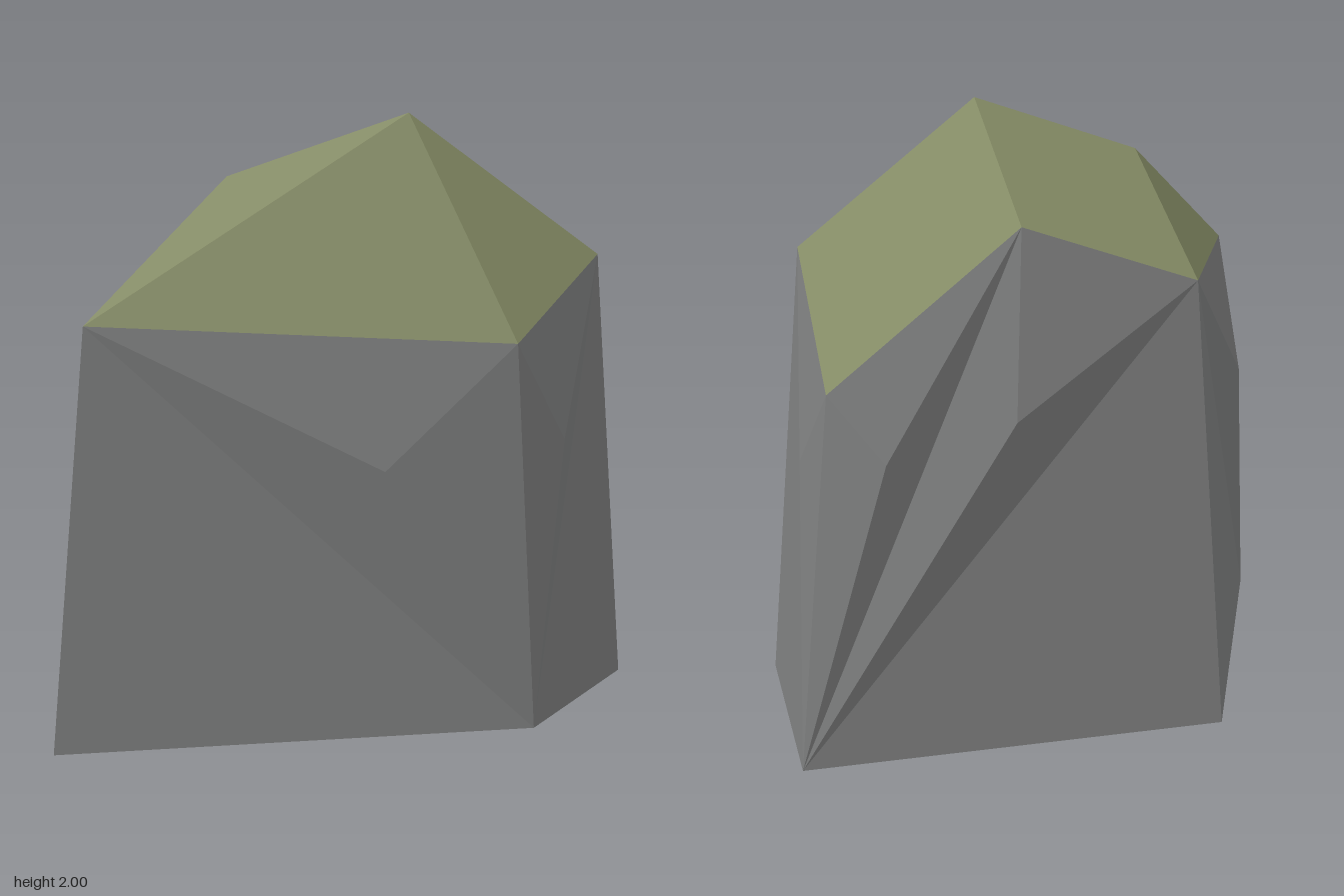
import * as THREE from 'three';

// Corner points: capital letters on the ground, small letters on the rim
const P = {
  A: [-0.96, 0, 0.98], B: [0.61, 0, 0.75], C: [0.96, 0, 0.16], D: [0.96, 0, -0.98], E: [-0.46, 0, -0.74],
  a: [-0.84, 1.4, 0.93], b: [0.54, 1.3, 0.74], c: [0.85, 1.5, 0.21], d: [0.85, 1.17, -0.79],
  f: [0.2, 1.67, -0.65], e: [-0.4, 1.47, -0.58],
  // ridge
  p: [0.2, 2, 0.36], q: [-0.4, 1.8, 0.43],
  // bulges in the walls
  1: [0.11, 0.91, 0.87], 2: [0.71, 0.95, 0.6], 3: [0.915, 0.9, -0.52],
  4: [0.67, 0.95, -0.86], 5: [0.24, 1.06, -0.8], 6: [-0.8, 0.97, 0.43],
};

// Each face is a string of corner names, counter-clockwise from outside
function facets(name, faces, material) {
  const pos = [];
  for (const face of faces) {
    for (let i = 1; i < face.length - 1; i++) {
      pos.push(...P[face[0]], ...P[face[i]], ...P[face[i + 1]]);
    }
  }
  const geo = new THREE.BufferGeometry();
  geo.setAttribute('position', new THREE.Float32BufferAttribute(pos, 3));
  geo.computeVertexNormals();
  const mesh = new THREE.Mesh(geo, material);
  mesh.name = name;
  return mesh;
}

// Split a triangle into three around a raised point
const bulge = ([u, v, w], m) => [u + v + m, v + w + m, w + u + m];

export function createModel() {
  const stone = new THREE.MeshStandardMaterial({ color: 0x7e7f7f });
  stone.name = 'greyStone';
  const moss = new THREE.MeshStandardMaterial({ color: 0x838a64 });
  moss.name = 'mossGreen';

  const group = new THREE.Group();
  group.name = 'rock';
  // Stone walls: flat lower triangles and bulging upper ones
  group.add(facets('stoneWalls', [
    'ABa', 'BCc', 'CDc', 'DEe', 'EAe',
    ...bulge('aBb', '1'), ...bulge('Bcb', '2'), ...bulge('cDd', '3'),
    ...bulge('Dfd', '4'), ...bulge('Def', '5'), ...bulge('eAa', '6'),
  ], stone));
  // Flat underside
  group.add(facets('underside', ['AEDCB'], stone));
  // Mossy cap
  group.add(facets('mossCap', ['abp', 'bcp', 'cdfp', 'pfeq', 'eaq', 'apq'], moss));
  return group;
}
